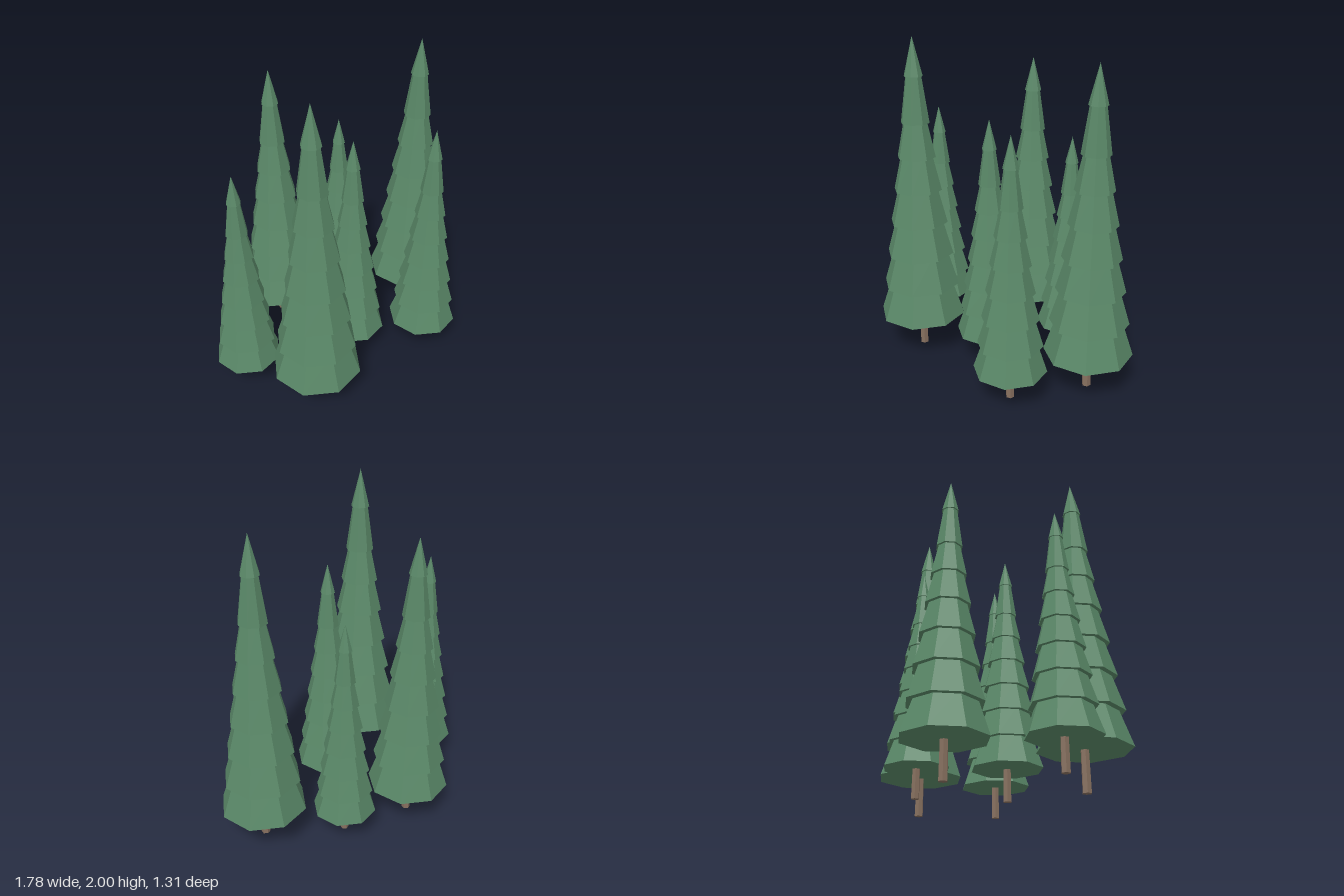
import * as THREE from 'three';

const foliageGreen = new THREE.MeshStandardMaterial({ color: 0x598767, flatShading: true });
foliageGreen.name = 'foliage green';
const barkBrown = new THREE.MeshStandardMaterial({ color: 0x87705f, flatShading: true });
barkBrown.name = 'bark brown';

// x, z, height of each tree
const TREES = [
  [-0.69, 0.03, 1.49], [-0.385, 0.38, 2.0], [-0.25, -0.41, 1.825], [0.01, 0.12, 1.55],
  [0.19, -0.365, 1.41], [0.45, 0.295, 1.58], [0.627, -0.145, 1.93],
];

// heights of the tier skirts, as fractions of the tree height
const SKIRTS = [0.119, 0.223, 0.328, 0.432, 0.537, 0.641, 0.746, 0.885];
const skirtRadius = (i) => 0.1365 - i * 0.0154;

function frustum(name, rTop, rBottom, y0, y1, sides, material) {
  const geometry = new THREE.CylinderGeometry(rTop, rBottom, y1 - y0, sides);
  geometry.translate(0, (y0 + y1) / 2, 0);
  const mesh = new THREE.Mesh(geometry, material);
  mesh.name = name;
  return mesh;
}

function makeTree(height) {
  const tree = new THREE.Group();
  tree.name = 'pineTree';

  // hexagonal trunk, ending inside the lowest tier
  const r = 0.018 + 0.0045 * height;
  tree.add(frustum('trunk', r * 0.9, r, 0, 0.15 * height, 6, barkBrown));

  // overlapping eight-sided tiers, each tucked under the next
  SKIRTS.forEach((y, i) => {
    const radius = skirtRadius(i);
    const last = i === SKIRTS.length - 1;
    let top = 1, rTop = 0;
    if (!last) {
      const overlap = 1.15;
      top = y + (SKIRTS[i + 1] - y) * overlap;
      rTop = radius + (skirtRadius(i + 1) * 0.84 - radius) * overlap;
    }
    tree.add(frustum(last ? 'treeTip' : 'foliageTier', rTop * height, radius * height,
      y * height, top * height, 8, foliageGreen));
  });
  return tree;
}

export function createModel() {
  const grove = new THREE.Group();
  grove.name = 'pineGrove';
  for (const [x, z, height] of TREES) {
    const tree = makeTree(height);
    tree.position.set(x, 0, z);
    grove.add(tree);
  }
  return grove;
}
